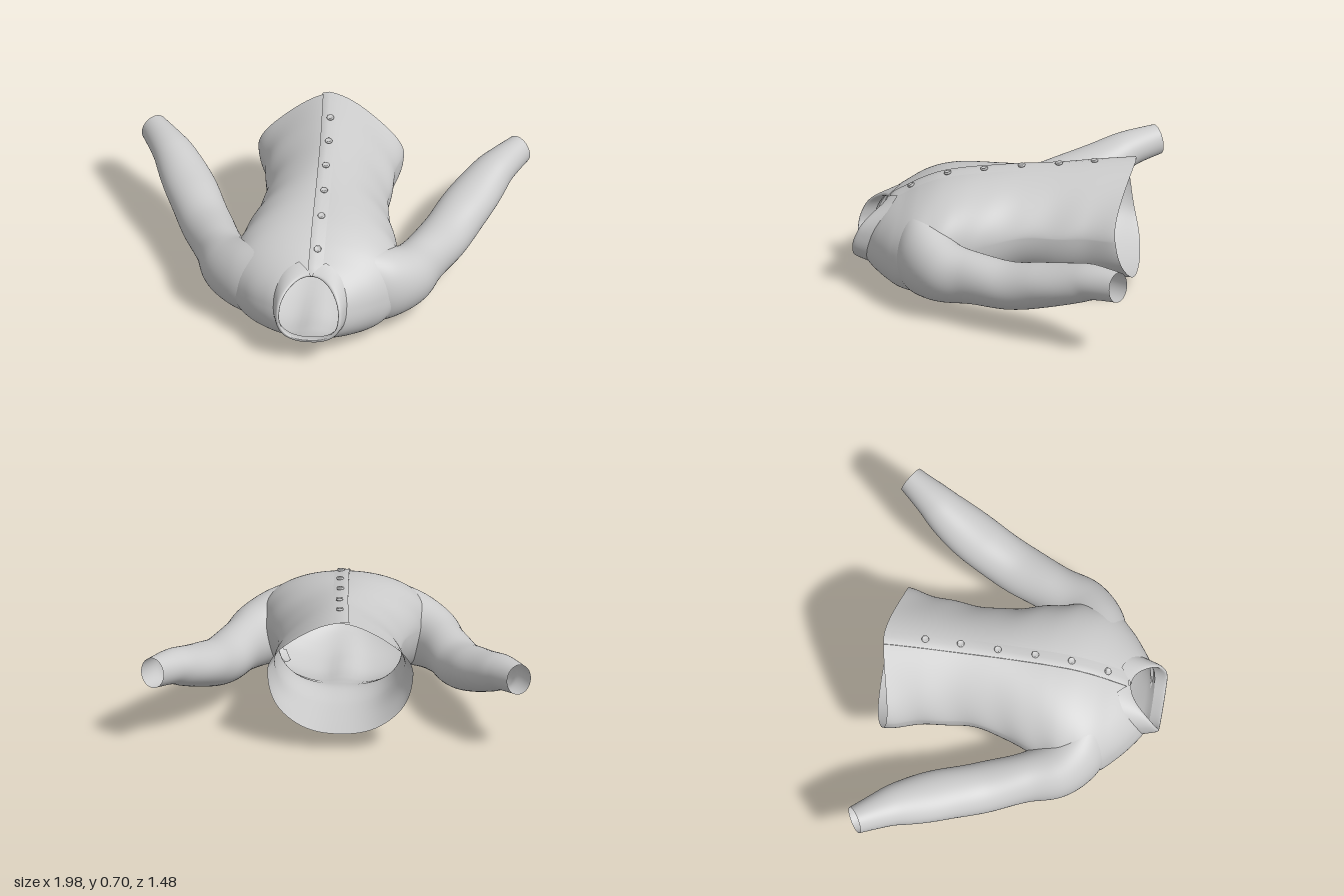
import * as THREE from 'three';

const cloth = new THREE.MeshStandardMaterial({ color: 0xcccccc, side: THREE.DoubleSide });

// Smooth interpolation through rows of numbers, t in 0..1
function sample(keys, t) {
  const f = Math.min(Math.max(t, 0), 1) * (keys.length - 1);
  const i = Math.min(Math.floor(f), keys.length - 2), k = f - i;
  const row = (n) => keys[Math.min(Math.max(n, 0), keys.length - 1)];
  const [p0, p1, p2, p3] = [row(i - 1), row(i), row(i + 1), row(i + 2)];
  return p1.map((b, j) => {
    const a = p0[j], c = p2[j], d = p3[j];
    return b + 0.5 * k * (c - a + k * (2 * a - 5 * b + 4 * c - d + k * (3 * (b - c) + d - a)));
  });
}

// Surface from fn(u, v) -> Vector3; v wraps round when closed, cut() drops buried faces
function loft(name, fn, nu, nv, closed, cut = () => false) {
  const cols = closed ? nv : nv + 1, pos = [], idx = [], gone = [];
  for (let i = 0; i <= nu; i++)
    for (let j = 0; j < cols; j++) {
      const p = fn(i / nu, j / nv);
      pos.push(p.x, p.y, p.z);
      gone.push(cut(p));
    }
  for (let i = 0; i < nu; i++)
    for (let j = 0; j < nv; j++) {
      const j2 = (j + 1) % cols;
      const a = i * cols + j, b = i * cols + j2, c = a + cols, d = b + cols;
      if (!(gone[a] && gone[b] && gone[c] && gone[d])) idx.push(a, b, c, b, d, c);
    }
  const g = new THREE.BufferGeometry();
  g.setAttribute('position', new THREE.Float32BufferAttribute(pos, 3));
  g.setIndex(idx);
  g.computeVertexNormals();
  const mesh = new THREE.Mesh(g, cloth);
  mesh.name = name;
  return mesh;
}

// Tilted oval ring: top z/y, bottom z/y, half width, side shift in z, centre x
function ringPoint([zT, yT, zB, yB, w, side, cx], a, power) {
  const c = Math.cos(a), s = Math.sin(a);
  const sh = Math.sign(s) * Math.abs(s) ** power;
  const ch = Math.sign(c) * Math.abs(c) ** power;
  const h = (sh + 1) / 2;
  return new THREE.Vector3(cx + w * ch, yB + (yT - yB) * h, zB + (zT - zB) * h + side * c * c * (1 + 0.5 * s));
}

// Body rings from hem to neck
const bodyRings = [
  [-0.69, 0.685, -0.70, 0.085, 0.37, 0.07, -0.02],
  [-0.50, 0.67, -0.52, 0.085, 0.338, 0.035, -0.01],
  [-0.31, 0.65, -0.32, 0.09, 0.317, 0.01, 0],
  [-0.12, 0.632, -0.13, 0.105, 0.32, 0, 0],
  [0.04, 0.613, 0.04, 0.06, 0.365, 0, 0],
  [0.18, 0.595, 0.20, 0.01, 0.405, 0, 0],
  [0.30, 0.57, 0.34, -0.01, 0.435, 0, 0],
  [0.40, 0.53, 0.47, 0.01, 0.42, 0, 0],
  [0.48, 0.485, 0.56, 0.045, 0.34, 0.01, 0],
  [0.54, 0.45, 0.64, 0.09, 0.24, 0.02, 0],
  [0.57, 0.42, 0.68, 0.125, 0.168, 0.03, 0],
];

// The front is peaked at hem and waist, rounder over the chest; the back is fuller
const frontPower = (u) => 1.33 - 0.38 * THREE.MathUtils.smoothstep(u, 0.2, 0.55);
const backPower = (u) => 0.9 - 0.1 * THREE.MathUtils.smoothstep(u, 0.3, 0.6);

function bodyPoint(u, a) {
  const p = ringPoint(sample(bodyRings, u), a, Math.sin(a) < 0 ? backPower(u) : frontPower(u));
  const sides = Math.cos(a) ** 2;
  // Soft folds at the waist, and a groove down the spine
  p.x *= 1 + 0.015 * sides * Math.sin(46 * u + 3 * Math.sin(a)) * (1 - u);
  p.y += 0.008 * Math.sin(5 * a + 9 * u) * Math.max(0, 1 - 2 * u) * sides;
  if (Math.sin(a) < 0) p.y += 0.03 * Math.exp(-((p.x / 0.07) ** 2)) * Math.exp(-(((u - 0.62) / 0.2) ** 2));
  return p;
}

// Parameter of the body where its ring passes z, at height h (0 bottom, 1 top)
function bodyAt(z, h) {
  let lo = 0, hi = 1;
  for (let i = 0; i < 20; i++) {
    const m = (lo + hi) / 2, r = sample(bodyRings, m);
    if (r[2] + (r[0] - r[2]) * h(r) < z) lo = m; else hi = m;
  }
  return lo;
}

function insideBody(p) {
  const height = (r) => THREE.MathUtils.clamp((p.y - r[3]) / (r[1] - r[3]), 0, 1);
  const u = bodyAt(p.z, height), r = sample(bodyRings, u);
  const s = (2 * (p.y - r[3])) / (r[1] - r[3]) - 1;
  const n = 2 / (s < 0 ? backPower(u) : frontPower(u));
  return Math.abs(s) ** n + Math.abs(p.x / r[4]) ** n < 0.92;
}

// Point on the front of the body at a given x
function frontPoint(u, x, lift) {
  const r = sample(bodyRings, u);
  const c = Math.sign(x - r[6]) * (Math.abs(x - r[6]) / r[4]) ** (1 / frontPower(u));
  const p = bodyPoint(u, Math.acos(c));
  p.y += lift;
  return p;
}

// Sleeve stations from inside the shoulder: x, y, z, half width, half height
const sleeveRings = [
  [0.25, 0.26, 0.375, 0.14, 0.215],
  [0.35, 0.248, 0.335, 0.152, 0.195],
  [0.445, 0.236, 0.245, 0.147, 0.165],
  [0.515, 0.235, 0.10, 0.125, 0.137],
  [0.60, 0.24, -0.10, 0.13, 0.122],
  [0.69, 0.288, -0.30, 0.132, 0.113],
  [0.785, 0.353, -0.48, 0.115, 0.10],
  [0.85, 0.385, -0.58, 0.092, 0.088],
  [0.93, 0.40, -0.70, 0.07, 0.078],
];

// Centre, sideways and upward axes of the sleeve at u
function sleeveFrame(u) {
  const at = (t) => new THREE.Vector3(...sample(sleeveRings, t).slice(0, 3));
  const t = at(Math.min(u + 0.02, 1)).sub(at(Math.max(u - 0.02, 0))).normalize();
  const n = t.clone().cross(new THREE.Vector3(0, 1, 0)).normalize();
  return { c: at(u), n, b: n.clone().cross(t), r: sample(sleeveRings, u) };
}
const armholeFrames = Array.from({ length: 24 }, (_, i) => sleeveFrame(0.08 + i * 0.02));

function insideSleeve(p) {
  const q = new THREE.Vector3(Math.abs(p.x), p.y, p.z);
  return armholeFrames.some(({ c, n, b, r }) => {
    const d = q.clone().sub(c), x = d.dot(n), y = d.dot(b);
    return Math.abs(d.dot(n.clone().cross(b))) < 0.02 && (x / r[3]) ** 2 + (y / r[4]) ** 2 < 0.88;
  });
}

function makeSleeve(name, side) {
  return loft(name, (u, v) => {
    const { c, n, b, r } = sleeveFrame(u), a = -side * v * Math.PI * 2;
    const fold = 1 + 0.025 * Math.sin(30 * u + 2 * Math.sin(a)) * Math.sin(Math.PI * u) * u;
    const p = c.addScaledVector(n, r[3] * fold * Math.cos(a)).addScaledVector(b, r[4] * fold * Math.sin(a));
    p.x *= side;
    return p;
  }, 90, 56, true, insideBody);
}

// Collar: stand, fold, then flap; the last value is the front gap angle
const collarRings = [
  [0.565, 0.42, 0.68, 0.128, 0.165, 0.03, 0, 0.0],
  [0.57, 0.42, 0.73, 0.145, 0.15, 0.06, 0, 0.0],
  [0.575, 0.43, 0.738, 0.138, 0.16, 0.062, 0, 0.02],
  [0.56, 0.445, 0.725, 0.125, 0.172, 0.055, 0, 0.08],
  [0.505, 0.482, 0.66, 0.1, 0.192, 0.035, 0, 0.34],
];

export function createModel() {
  const model = new THREE.Group();
  model.name = 'shirt';

  model.add(loft('body', (u, v) => bodyPoint(u, v * Math.PI * 2), 130, 120, true, insideSleeve));
  model.add(makeSleeve('leftSleeve', 1), makeSleeve('rightSleeve', -1));

  model.add(loft('collar', (u, v) => {
    const r = sample(collarRings, u), gap = r[7];
    const a = Math.PI / 2 + gap + v * (2 * Math.PI - 2 * gap);
    return ringPoint(r, a, Math.sin(a) > 0 ? 0.95 : 0.8);
  }, 24, 72, false));

  // Overlapping front edge, drifting sideways toward the hem
  const strip = [[0, 0], [0, 0.01], [0.035, 0.008], [0.075, 0.001]];
  model.add(loft('placket', (u, v) => {
    const [dx, lift] = strip[Math.round((1 - v) * 3)];
    return frontPoint(u * 0.96, -0.02 - 0.05 * (1 - u) ** 3 + dx, lift);
  }, 90, 3, false));

  // Buttons: rimmed discs lying on the front
  const profile = [[0, 0], [0.017, 0], [0.019, 0.006], [0.017, 0.012], [0.012, 0.012], [0.01, 0.009], [0, 0.009]];
  const buttonShape = new THREE.LatheGeometry(profile.map(([x, y]) => new THREE.Vector2(x, y)), 20);
  [[-0.01, -0.48], [0, -0.3], [0.005, -0.11], [0.015, 0.08], [0.02, 0.265], [0.02, 0.45]].forEach(([x, z], i) => {
    const u = bodyAt(z, () => 1);
    const slope = frontPoint(u + 0.01, x, 0).sub(frontPoint(u - 0.01, x, 0));
    const button = new THREE.Mesh(buttonShape, cloth);
    button.name = 'button' + (i + 1);
    button.position.copy(frontPoint(u, x, 0.005));
    button.rotation.x = Math.atan2(-slope.y, slope.z);
    model.add(button);
  });

  return model;
}
